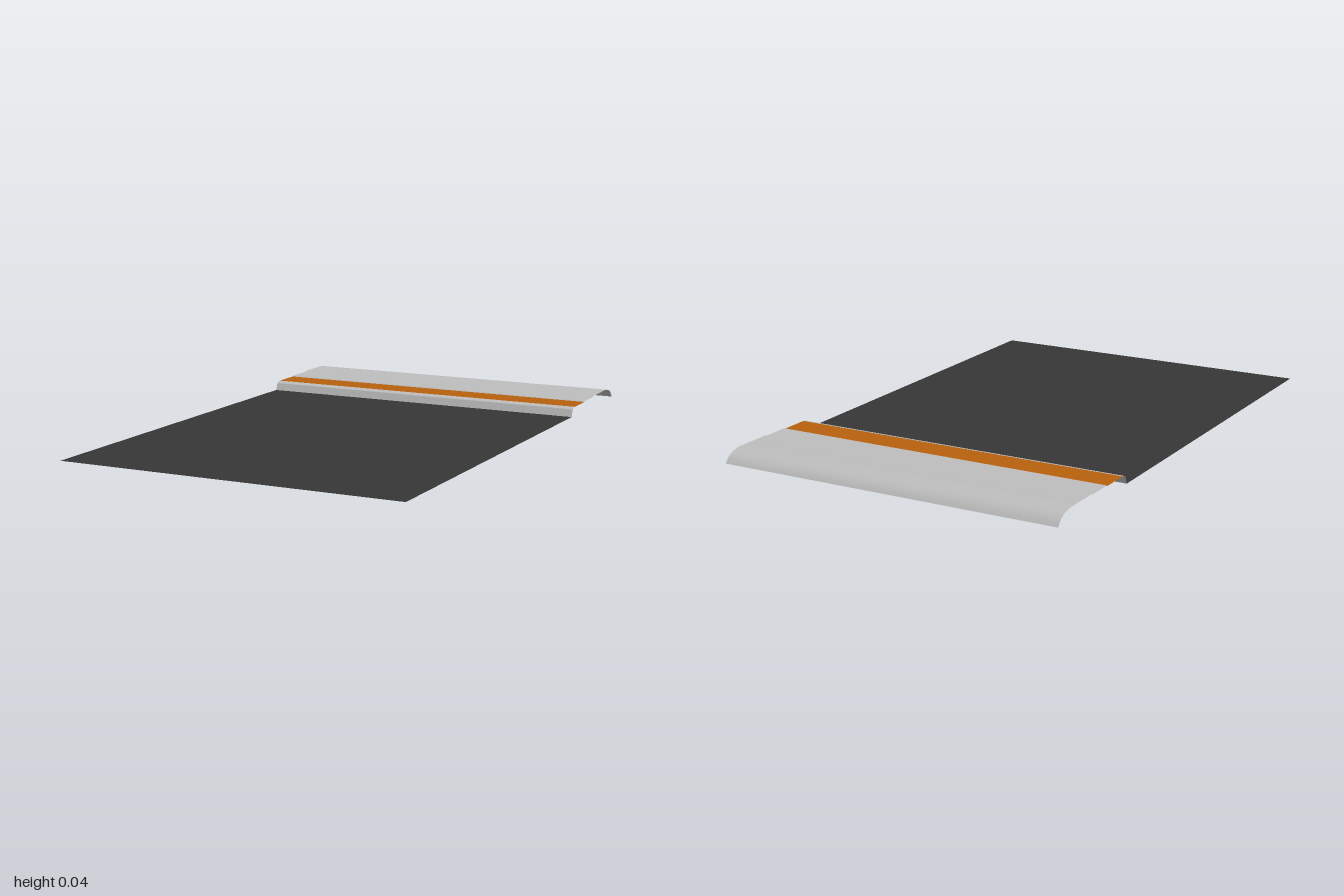
import * as THREE from 'three';

const HALF_WIDTH = 0.655;

function material(name, color) {
  const m = new THREE.MeshStandardMaterial({ color, side: THREE.DoubleSide });
  m.name = name;
  return m;
}

// Sweeps a [z, y] profile, running from front to back, across the full width.
function strip(name, profile, mat) {
  const positions = [], indices = [];
  profile.forEach(([z, y], i) => {
    positions.push(-HALF_WIDTH, y, z, HALF_WIDTH, y, z);
    if (i > 0) {
      const a = 2 * (i - 1);
      indices.push(a, a + 1, a + 3, a, a + 3, a + 2);
    }
  });
  const geometry = new THREE.BufferGeometry();
  geometry.setAttribute('position', new THREE.Float32BufferAttribute(positions, 3));
  geometry.setIndex(indices);
  geometry.computeVertexNormals();
  const mesh = new THREE.Mesh(geometry, mat);
  mesh.name = name;
  return mesh;
}

export function createModel() {
  const asphalt = material('asphalt', 0x373737);
  const concrete = material('concrete', 0xbebebe);
  const orange = material('orange paving', 0xb8620c);

  const group = new THREE.Group();
  group.name = 'roadSection';
  group.add(
    // Flat carriageway
    strip('road', [[1, 0], [-0.515, 0]], asphalt),
    // Steep kerb face with a softened top edge
    strip('kerbFace', [[-0.515, 0], [-0.526, 0.028]], concrete),
    strip('kerbEdge', [[-0.526, 0.028], [-0.534, 0.033], [-0.547, 0.035]], concrete),
    // Coloured lane beside the kerb
    strip('cycleLane', [[-0.547, 0.035], [-0.66, 0.035]], orange),
    // Pavement in shallow steps
    strip('laneRiser', [[-0.66, 0.035], [-0.663, 0.038]], concrete),
    strip('lowerPavement', [[-0.663, 0.038], [-0.768, 0.038]], concrete),
    strip('middleRiser', [[-0.768, 0.038], [-0.774, 0.041]], concrete),
    strip('middlePavement', [[-0.774, 0.041], [-0.864, 0.041]], concrete),
    strip('upperRiser', [[-0.864, 0.041], [-0.87, 0.042]], concrete),
    // Back strip rounding down to the ground
    strip('backPavement', [[-0.87, 0.042], [-0.925, 0.041], [-0.955, 0.035],
      [-0.975, 0.026], [-0.99, 0.013], [-1, 0]], concrete),
  );
  return group;
}
